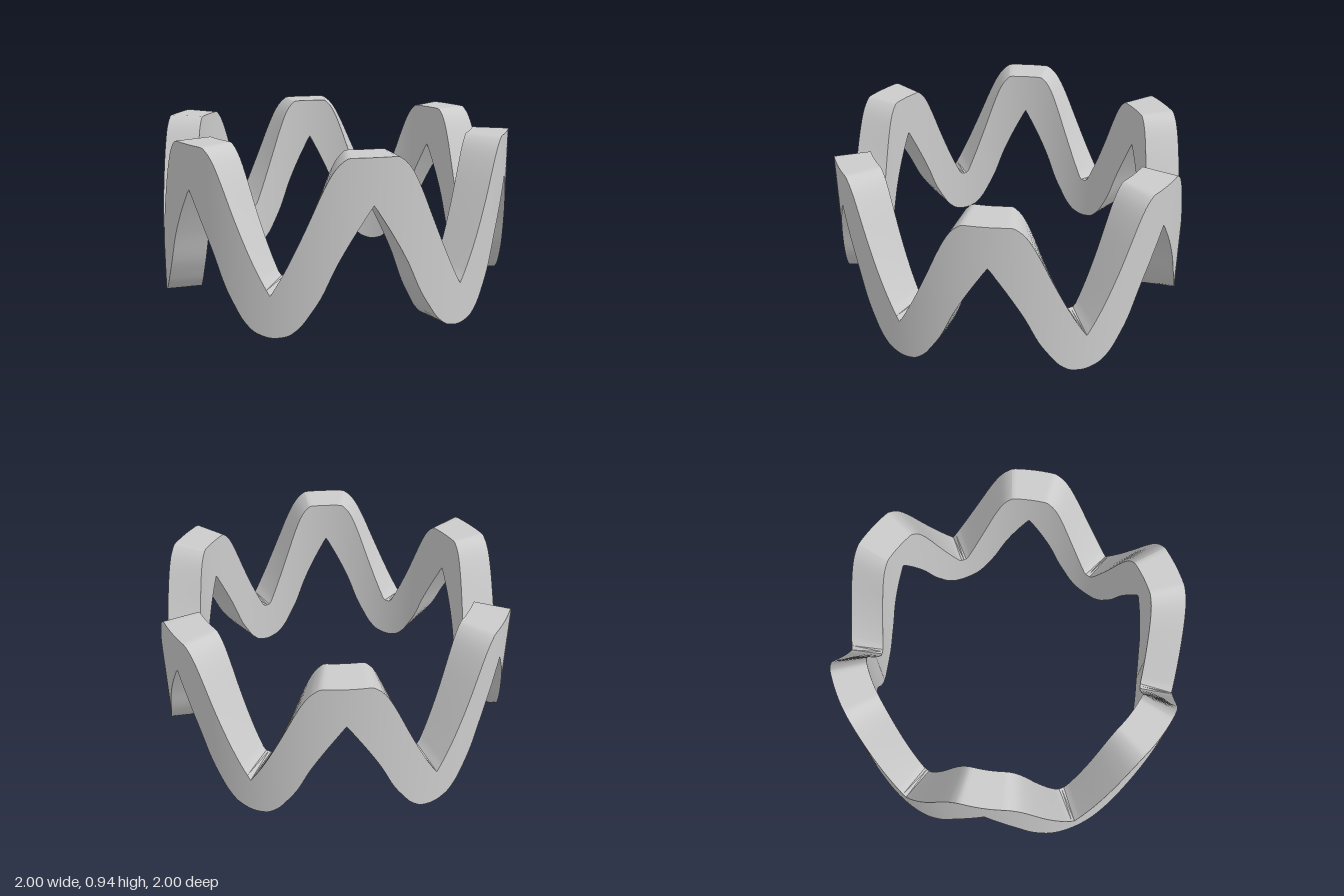
import * as THREE from 'three';
import { toCreasedNormals } from 'three/addons/utils/BufferGeometryUtils.js';

const WAVES = 6;
const HALF = Math.PI / WAVES; // angle from a trough to the next peak
const STEPS = 28;             // columns per half wave
const OUTER = 1, INNER = 0.8;

// Edge heights over half a wave: [angle from trough, y]
const TOP_EDGE = [[0, 0.225], [0.034, 0.28], [0.097, 0.395], [0.16, 0.525], [0.21, 0.635], [0.265, 0.76],
  [0.31, 0.85], [0.336, 0.89], [0.37, 0.925], [0.405, 0.945], [HALF, 0.945]];
const BOTTOM_EDGE = [[0, 0], [0.08, 0.015], [0.152, 0.068], [0.21, 0.148], [0.264, 0.235],
  [0.34, 0.4], [0.427, 0.555], [0.49, 0.655], [HALF, 0.705]];

// Monotone cubic through the points, with given slopes at both ends
function smoothEdge(pts, startSlope, endSlope) {
  const secant = (i) => (pts[i + 1][1] - pts[i][1]) / (pts[i + 1][0] - pts[i][0]);
  const slopes = pts.map((_, i) => {
    if (i === 0) return startSlope;
    if (i === pts.length - 1) return endSlope;
    const a = secant(i - 1), b = secant(i);
    return a * b > 0 ? (2 * a * b) / (a + b) : 0;
  });
  return (x) => {
    let i = 0;
    while (i < pts.length - 2 && x > pts[i + 1][0]) i++;
    const h = pts[i + 1][0] - pts[i][0];
    const t = (x - pts[i][0]) / h, t2 = t * t, t3 = t2 * t;
    return (2 * t3 - 3 * t2 + 1) * pts[i][1] + (t3 - 2 * t2 + t) * h * slopes[i]
      + (3 * t2 - 2 * t3) * pts[i + 1][1] + (t3 - t2) * h * slopes[i + 1];
  };
}

function waveRingGeometry() {
  const topAt = smoothEdge(TOP_EDGE, 1.6, 0);
  const bottomAt = smoothEdge(BOTTOM_EDGE, 0, 1.0);
  const columns = WAVES * 2 * STEPS;
  const position = [], index = [];

  for (let i = 0; i < columns; i++) {
    const angle = (i / STEPS) * HALF;
    const k = i % (2 * STEPS);
    const fromTrough = (Math.min(k, 2 * STEPS - k) / STEPS) * HALF;
    const top = topAt(fromTrough), bottom = bottomAt(fromTrough);
    // Section corners; the notch is slightly filled on the inner side
    const corners = [[OUTER, bottom], [OUTER, top], [INNER, Math.max(top, 0.27)], [INNER, bottom]];
    for (const [r, y] of corners) position.push(r * Math.sin(angle), y, r * Math.cos(angle));

    const next = (i + 1) % columns;
    for (let s = 0; s < 4; s++) {
      const e = (s + 1) % 4;
      const a = i * 4 + s, b = next * 4 + s, c = next * 4 + e, d = i * 4 + e;
      index.push(a, b, c, a, c, d);
    }
  }

  const geometry = new THREE.BufferGeometry();
  geometry.setAttribute('position', new THREE.Float32BufferAttribute(position, 3));
  geometry.setIndex(index);
  return toCreasedNormals(geometry, 0.5);
}

export function createModel() {
  const group = new THREE.Group();
  group.name = 'zigzagRing';
  const band = new THREE.Mesh(waveRingGeometry(), new THREE.MeshStandardMaterial({ color: 0xcccccc }));
  band.name = 'waveBand';
  group.add(band);
  return group;
}
